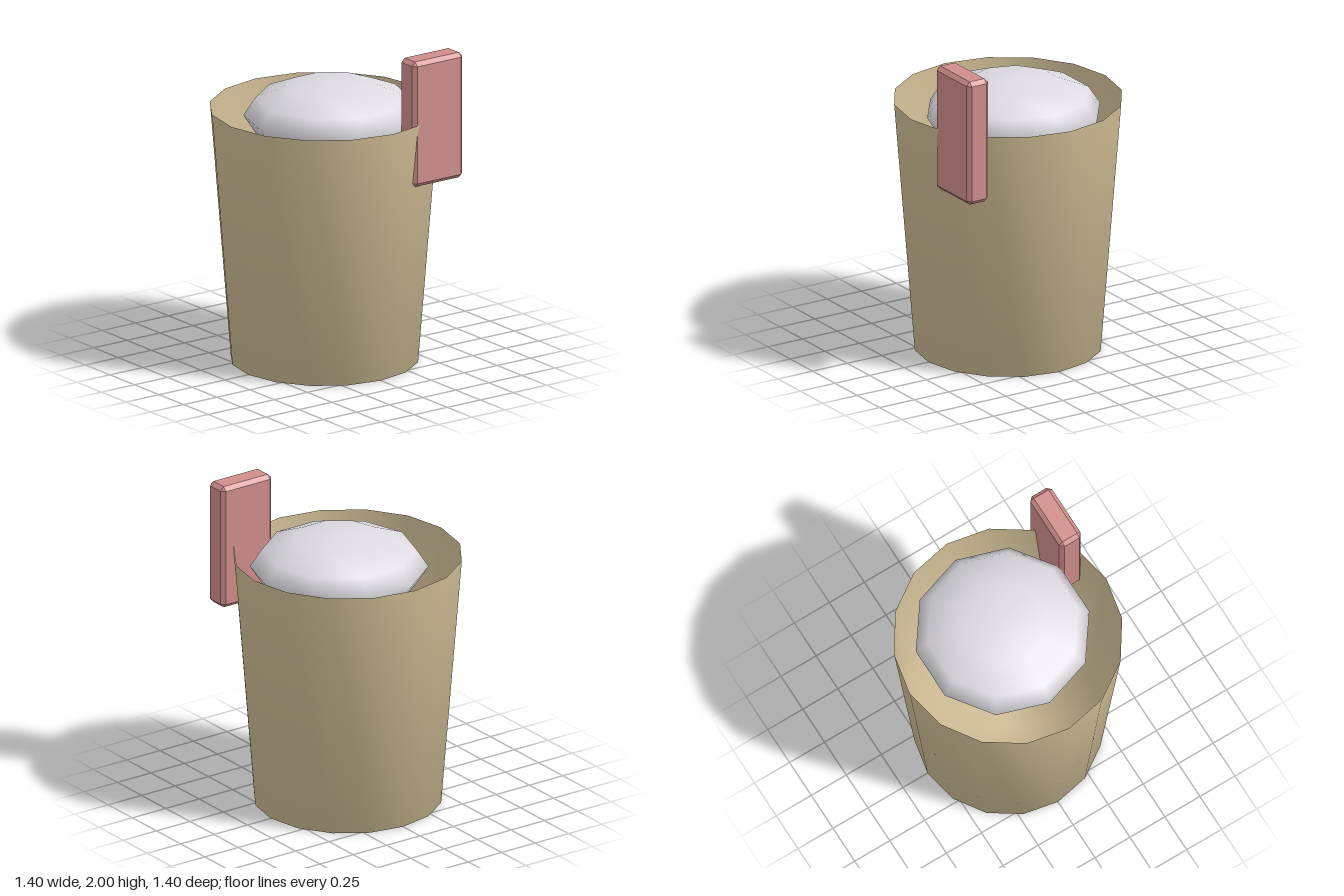
import * as THREE from 'three';
import { ConvexGeometry } from 'three/addons/geometries/ConvexGeometry.js';

const material = (name, color, extra = {}) => {
  const m = new THREE.MeshStandardMaterial({ color, ...extra });
  m.name = name;
  return m;
};

// Box with flat chamfers on every edge
function chamferedBox(w, h, d, c) {
  const points = [];
  for (const x of [-1, 1]) for (const y of [-1, 1]) for (const z of [-1, 1]) {
    for (let axis = 0; axis < 3; axis++) {
      const inset = [c, c, c];
      inset[axis] = 0;
      points.push(new THREE.Vector3(x * (w / 2 - inset[0]), y * (h / 2 - inset[1]), z * (d / 2 - inset[2])));
    }
  }
  return new ConvexGeometry(points);
}

export function createModel() {
  const group = new THREE.Group();
  const add = (name, geometry, mat, x, y, z) => {
    const mesh = new THREE.Mesh(geometry, mat);
    mesh.name = name;
    mesh.position.set(x, y, z);
    group.add(mesh);
  };

  // Thin tapered cup: closed floor, open top, shaded smoothly around the base
  const profile = [[0, 0], [0.575, 0], [0.702, 1.6]].map(([r, y]) => new THREE.Vector2(r, y));
  add('cup', new THREE.LatheGeometry(profile, 16),
    material('tan', 0xd0bd95, { side: THREE.DoubleSide }), 0, 0, 0);

  // Flattened scoop sitting in the mouth of the cup
  const scoop = new THREE.SphereGeometry(0.5425, 10, 6);
  scoop.scale(1, 0.22 / 0.5425, 1);
  add('scoop', scoop, material('pale grey', 0xdddbe1), 0.0625, 1.535, 0);

  // Wafer slab standing through the front rim
  add('wafer', chamferedBox(0.38, 0.795, 0.155, 0.025),
    material('pink', 0xd08e8c), 0.383, 1.6025, 0.5775);

  return group;
}
